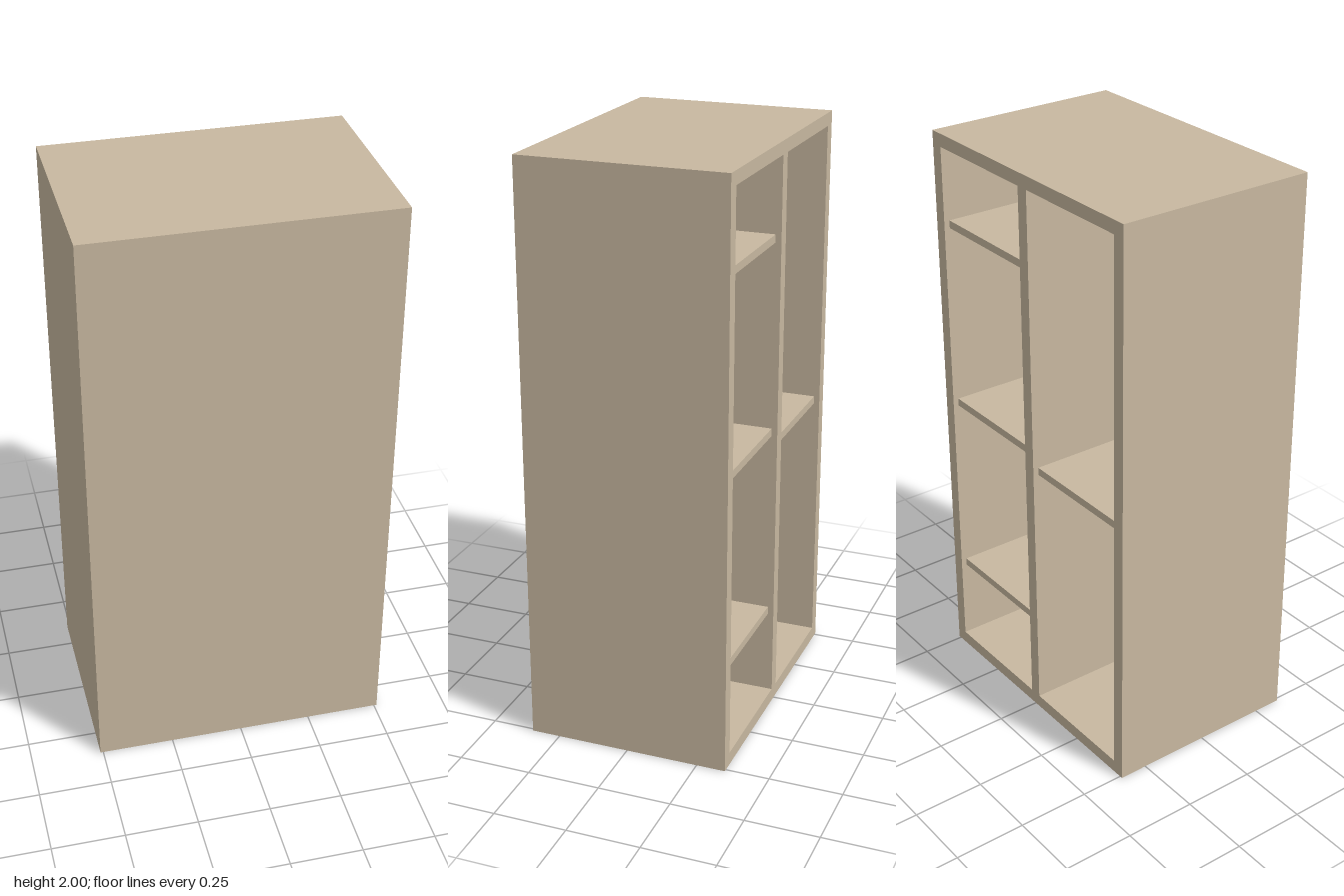
import * as THREE from 'three';

const W = 1.02, H = 2, D = 0.7;      // outer size
const T = 0.045;                     // board thickness
const SHELF_T = 0.027, RECESS = 0.02;
const BAY_W = (W - 3 * T) / 2;       // clear width of one bay
const BAY_X = (BAY_W + T) / 2;       // bay centre, mirrored for the other bay

function rectangle(PathType, x, y, w, h) {
  const p = new PathType();
  p.moveTo(x, y);
  p.lineTo(x + w, y);
  p.lineTo(x + w, y + h);
  p.lineTo(x, y + h);
  p.closePath();
  return p;
}

export function createModel() {
  const group = new THREE.Group();
  const wood = new THREE.MeshStandardMaterial({ color: 0xc8b8a0 });
  wood.name = 'light wood';

  function add(name, geometry, x, y, z, parent = group) {
    const mesh = new THREE.Mesh(geometry, wood);
    mesh.name = name;
    mesh.position.set(x, y, z);
    parent.add(mesh);
    return mesh;
  }

  // Carcass: sides, top, base and divider as one frame with two open bays
  const outline = rectangle(THREE.Shape, -W / 2, 0, W, H);
  for (const side of [-1, 1]) {
    outline.holes.push(rectangle(THREE.Path, side * BAY_X - BAY_W / 2, T, BAY_W, H - 2 * T));
  }
  const frame = new THREE.ExtrudeGeometry(outline, { depth: D - T, bevelEnabled: false });
  add('carcass', frame, 0, 0, -D / 2);

  // Closed front panel
  add('frontPanel', new THREE.BoxGeometry(W, H, T), 0, H / 2, D / 2 - T / 2);

  // Shelves, set back slightly from the open side
  const shelfDepth = D - T - RECESS;
  const shelf = new THREE.BoxGeometry(BAY_W, SHELF_T, shelfDepth);
  const shelfZ = -D / 2 + RECESS + shelfDepth / 2;
  for (const top of [0.367, 1.032, 1.697]) {
    add('leftShelf', shelf, BAY_X, top - SHELF_T / 2, shelfZ);
  }
  add('rightShelf', shelf, -BAY_X, 0.978 - SHELF_T / 2, shelfZ);

  // Hanging rails with a round socket at each end
  const rail = new THREE.CylinderGeometry(0.014, 0.014, BAY_W, 24).rotateZ(Math.PI / 2);
  const socketLength = 0.018;
  const socket = new THREE.CylinderGeometry(0.026, 0.026, socketLength, 24).rotateZ(Math.PI / 2);
  for (const y of [0.83, 1.85]) {
    const hanger = new THREE.Group();
    hanger.name = 'hangingRail';
    hanger.position.set(-BAY_X, y, 0);
    add('rail', rail, 0, 0, 0, hanger);
    for (const side of [-1, 1]) {
      add('railSocket', socket, side * (BAY_W - socketLength) / 2, 0, 0, hanger);
    }
    group.add(hanger);
  }

  return group;
}
